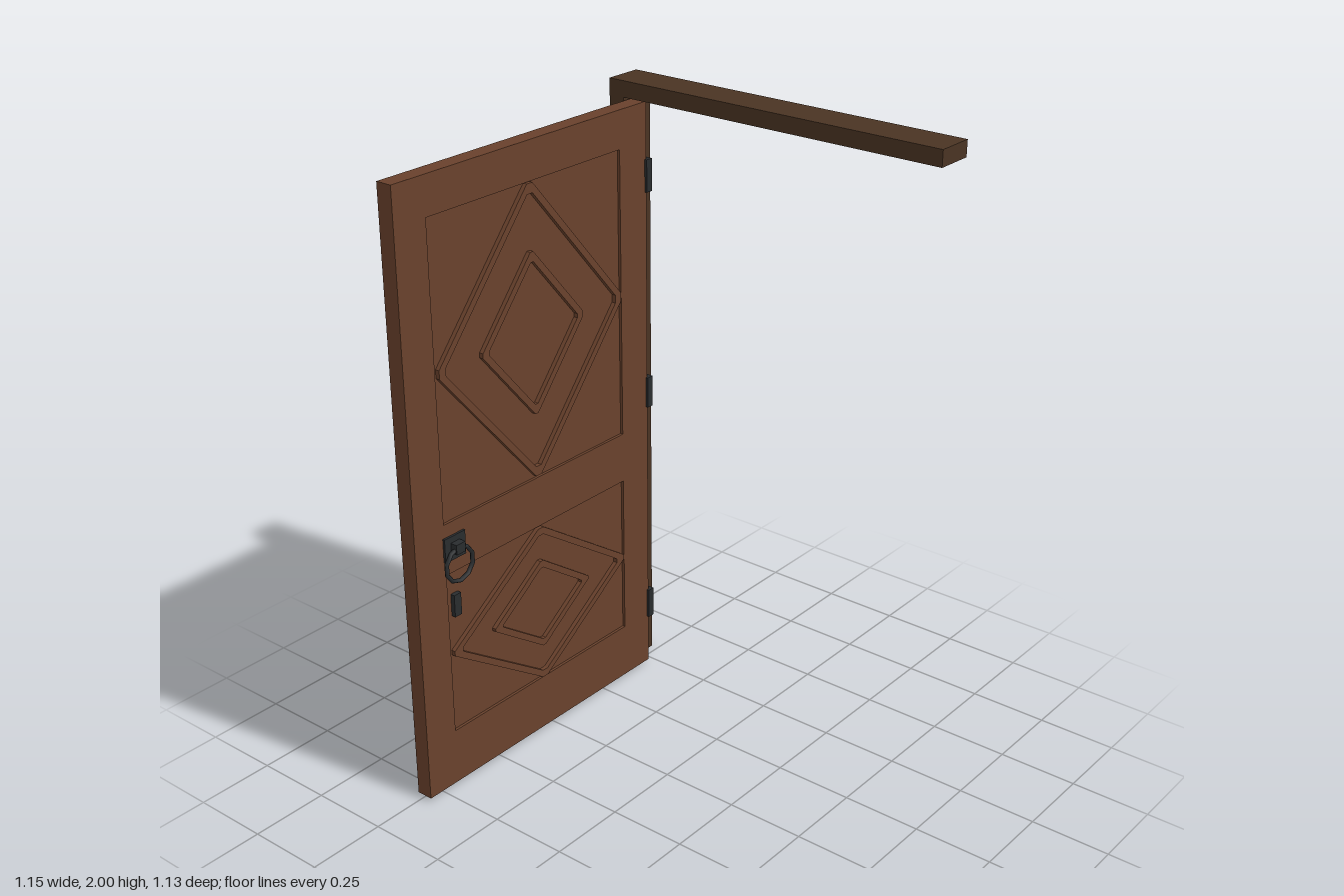
import * as THREE from 'three';

const DOOR_X = -0.4915; // middle plane of the open door leaf
const THICK = 0.053;

export function createModel() {
  const mat = (name, color) => {
    const m = new THREE.MeshStandardMaterial({ color });
    m.name = name;
    return m;
  };
  const frameWood = mat('dark frame wood', 0x4a3423);
  const doorWood = mat('door wood', 0x69412c);
  const iron = mat('dark iron', 0x292c2e);

  const root = new THREE.Group();
  root.name = 'openDoor';

  // Box given by its limits on each axis
  const box = (name, material, [x0, x1], [y0, y1], [z0, z1], parent = root) => {
    const mesh = new THREE.Mesh(new THREE.BoxGeometry(x1 - x0, y1 - y0, z1 - z0), material);
    mesh.position.set((x0 + x1) / 2, (y0 + y1) / 2, (z0 + z1) / 2);
    mesh.name = name;
    parent.add(mesh);
    return mesh;
  };

  // Outline in the (z, y) plane, extruded along x and centred on the door
  const slab = (name, shape, depth) => {
    const geo = new THREE.ExtrudeGeometry(shape, { depth, bevelEnabled: false });
    geo.translate(0, 0, -depth / 2);
    geo.rotateY(-Math.PI / 2);
    const mesh = new THREE.Mesh(geo, doorWood);
    mesh.position.x = DOOR_X;
    mesh.name = name;
    root.add(mesh);
  };

  const rect = (z0, z1, y0, y1) => [[z0, y0], [z1, y0], [z1, y1], [z0, y1]]
    .map(([z, y]) => new THREE.Vector2(z, y));

  // Diamond with small clipped tips
  const diamond = (cz, cy, hz, hy) => {
    const t = 0.03, a = hz * t, b = hy * t;
    return [[hz, -b], [hz, b], [a, hy], [-a, hy], [-hz, b], [-hz, -b], [-a, -hy], [a, -hy]]
      .map(([z, y]) => new THREE.Vector2(cz + z, cy + y));
  };

  // Frame: hinge post and lintel
  box('framePost', frameWood, [-0.578, -0.525], [0, 1.95], [-0.563, -0.44]);
  box('frameLintel', frameWood, [-0.578, 0.577], [1.95, 2], [-0.563, -0.44]);

  // Door leaf with two panel openings
  const panels = [
    { name: 'upper', y: [0.9, 1.823], cy: 1.365, outer: 0.455, inner: 0.252 },
    { name: 'lower', y: [0.197, 0.735], cy: 0.465, outer: 0.264, inner: 0.15 },
  ];
  const [pz0, pz1] = [-0.35, 0.445];
  const leaf = new THREE.Shape(rect(-0.472, 0.563, 0.013, 1.942));
  for (const p of panels) leaf.holes.push(new THREE.Path(rect(pz0, pz1, ...p.y)));
  slab('doorLeaf', leaf, THICK);

  // Recessed panels and their raised diamond mouldings, showing on both faces
  const cz = 0.045;
  for (const p of panels) {
    box(p.name + 'Panel', doorWood,
      [DOOR_X - THICK / 2 + 0.009, DOOR_X + THICK / 2 - 0.009], p.y, [pz0, pz1]);
    for (const [label, hz, hy] of [['Outer', 0.388, p.outer], ['Inner', 0.214, p.inner]]) {
      const w = 0.02; // moulding width, measured square to the bar
      const k = 1 - w * Math.hypot(hz, hy) / (hz * hy);
      const ring = new THREE.Shape(diamond(cz, p.cy, hz, hy));
      ring.holes.push(new THREE.Path(diamond(cz, p.cy, hz * k, hy * k)));
      slab(p.name + label + 'Diamond', ring, THICK + 0.01);
    }
  }

  // Three hinges along the post edge
  for (const y of [0.235, 1.005, 1.715]) {
    box('hinge', iron, [-0.5, -0.457], [y - 0.051, y + 0.051], [-0.489, -0.465]);
  }

  // Ring pull and keyhole plate on each face
  for (const s of [1, -1]) {
    const handle = new THREE.Group();
    handle.name = s > 0 ? 'leftHandle' : 'rightHandle';
    handle.position.set(DOOR_X, 0, 0.41);
    handle.rotation.y = s > 0 ? 0 : Math.PI;
    root.add(handle);
    const face = THICK / 2 - 0.012;
    box('handlePlate', iron, [face, 0.034], [0.78, 0.857], [-0.042, 0.042], handle);
    box('ringBracket', iron, [face, 0.057], [0.805, 0.837], [-0.018, 0.018], handle);
    box('keyholePlate', iron, [face, 0.032], [0.587, 0.66], [-0.014, 0.014], handle);

    const geo = new THREE.TorusGeometry(0.055, 0.007, 6, 10);
    geo.rotateZ(Math.PI / 10);
    geo.rotateY(Math.PI / 2);
    const ring = new THREE.Mesh(geo, iron);
    ring.name = 'pullRing';
    ring.position.set(0.048, 0.767, 0);
    handle.add(ring);
  }

  return root;
}
